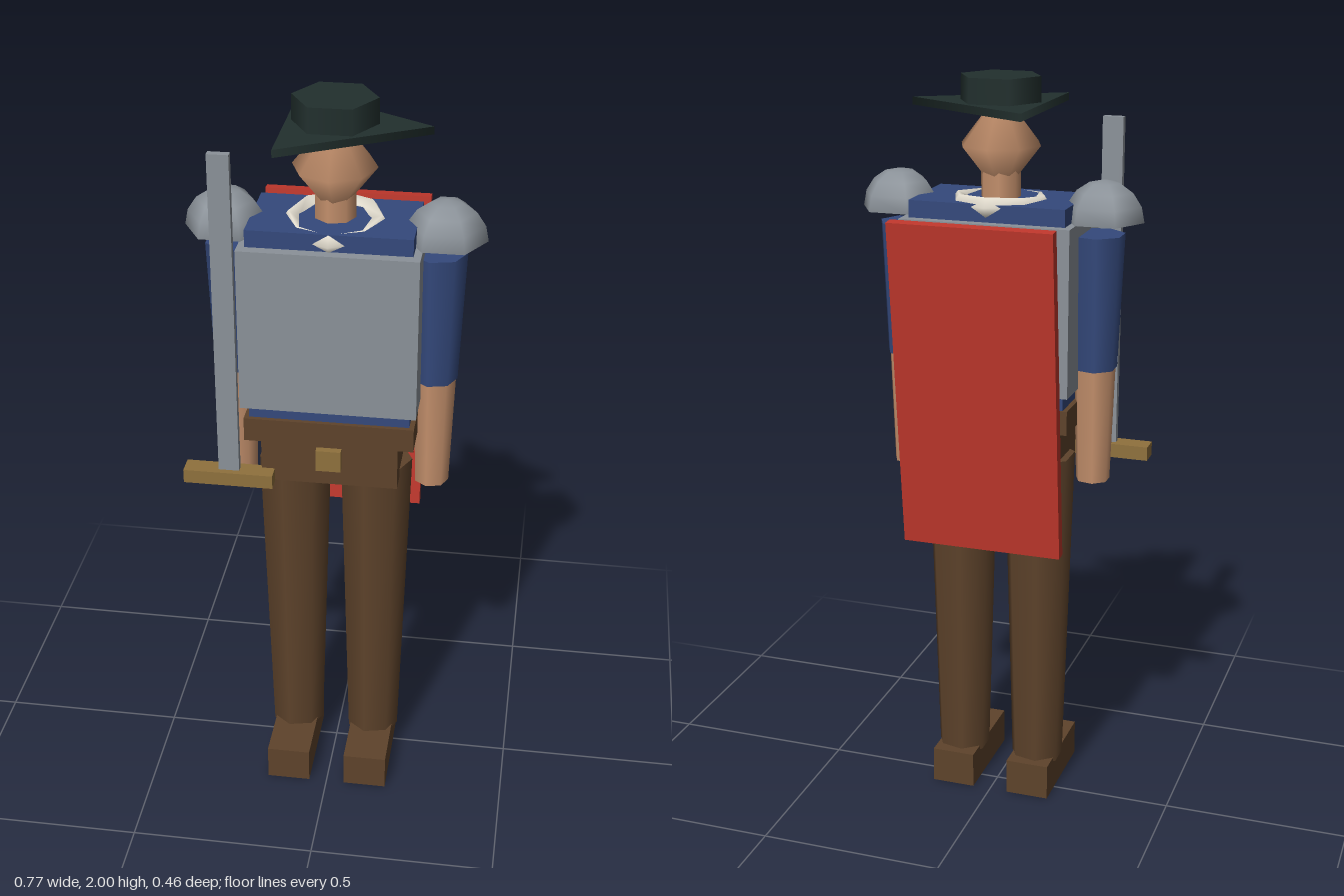
import * as THREE from 'three';

const material = (name, color) => {
  const m = new THREE.MeshStandardMaterial({ color });
  m.name = name;
  return m;
};

export function createModel() {
  const root = new THREE.Group();
  root.name = 'guard';

  const steel = material('steel', 0x8b9299);
  steel.side = THREE.DoubleSide;
  const blue = material('blue cloth', 0x34497c);
  const brown = material('brown leather', 0x5e432b);
  const skin = material('skin', 0xc4906c);
  const felt = material('dark felt', 0x22302e);
  const gold = material('brass', 0x8f713d);
  const red = material('red', 0xc0372c);
  const cream = material('cream', 0xe6e0d2);

  const Z = 0.025; // body axis

  const add = (name, geometry, mat, x = 0, y = 0, z = 0) => {
    const mesh = new THREE.Mesh(geometry, mat);
    mesh.name = name;
    mesh.position.set(x, y, z);
    root.add(mesh);
    return mesh;
  };

  // Box given by its limits on each axis
  const box = (name, mat, [x0, x1], [y0, y1], [z0, z1]) =>
    add(name, new THREE.BoxGeometry(x1 - x0, y1 - y0, z1 - z0), mat,
      (x0 + x1) / 2, (y0 + y1) / 2, (z0 + z1) / 2);

  // Upright tapered prism with its first corner towards +x
  const prism = (name, mat, x, y0, y1, bottom, top, sides) =>
    add(name, new THREE.CylinderGeometry(top, bottom, y1 - y0, sides, 1, false, Math.PI / 2),
      mat, x, (y0 + y1) / 2, Z);

  // Torso, breastplate, belt and hips
  box('torso', blue, [-0.209, 0.209], [1.15, 1.69], [-0.095, 0.145]);
  box('breastplate', steel, [-0.228, 0.228], [1.205, 1.645], [-0.12, 0.173]);
  box('belt', brown, [-0.222, 0.222], [1.1, 1.165], [-0.1, 0.157]);
  box('hips', brown, [-0.18, 0.18], [0.975, 1.1], [-0.08, 0.142]);
  box('buckle', gold, [-0.033, 0.033], [1.025, 1.085], [0.13, 0.162]);

  // Limbs, feet and shoulder guards
  for (const [side, s] of [['left', 1], ['right', -1]]) {
    prism(side + 'Leg', brown, s * 0.11, 0.088, 1.0, 0.073, 0.098, 7);
    box(side + 'Foot', brown, [s * 0.11 - 0.06, s * 0.11 + 0.06], [0, 0.1], [-0.07, 0.213]);
    prism(side + 'Sleeve', blue, s * 0.26, 1.255, 1.61, 0.06, 0.074, 7);
    prism(side + 'Forearm', skin, s * 0.26, 0.945, 1.257, 0.046, 0.056, 7);
    add(side + 'ShoulderGuard',
      new THREE.SphereGeometry(0.105, 6, 4, 0, Math.PI * 2, 0, Math.PI / 2),
      steel, s * 0.278, 1.645, Z);
  }

  // Collar ring, tipped slightly forward
  const collar = add('collar', new THREE.TorusGeometry(0.11, 0.027, 5, 8), cream, 0, 1.673, Z);
  collar.rotation.x = Math.PI / 2 + 0.08;

  // Neck and head
  prism('neck', skin, 0, 1.66, 1.76, 0.053, 0.053, 7);
  const head = add('head', new THREE.SphereGeometry(1, 8, 2), skin, 0, 1.825, Z + 0.003);
  head.scale.set(0.107, 0.137, 0.116);

  // Three-cornered hat
  prism('hatBrim', felt, 0, 1.915, 1.935, 0.24, 0.24, 3);
  prism('hatCrown', felt, 0, 1.93, 2.0, 0.109, 0.107, 6);

  // Sword held upright beside the right hand
  box('swordBlade', steel, [-0.291, -0.236], [1.0, 1.89], [0.147, 0.167]);
  box('swordGuard', gold, [-0.383, -0.145], [0.972, 1.01], [0.13, 0.184]);

  // Shield leaning back behind the body
  const shield = add('shield', new THREE.BoxGeometry(0.437, 0.893, 0.03), red, 0, 1.214, -0.171);
  shield.rotation.x = -0.101;

  return root;
}
